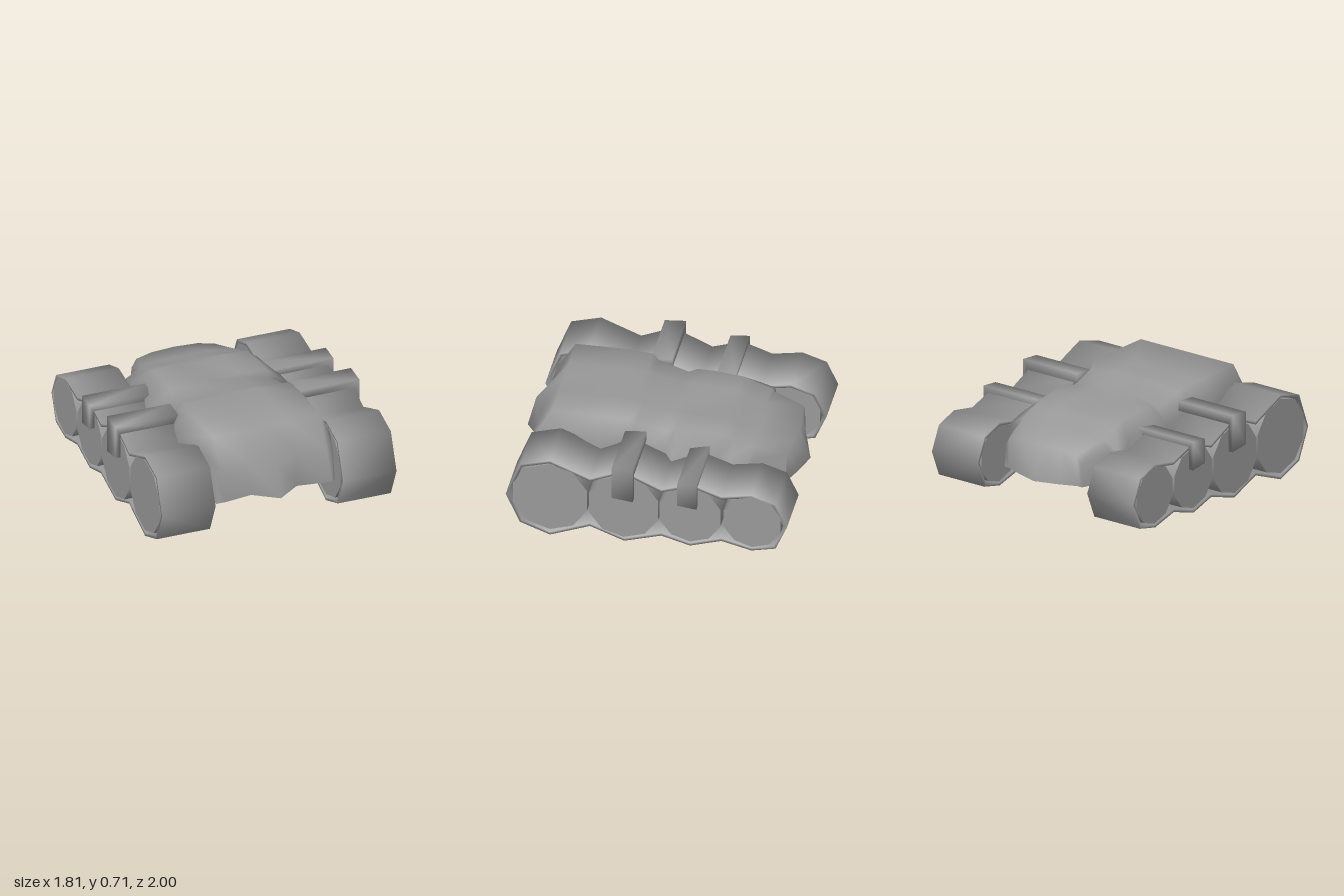
import * as THREE from 'three';
import { toCreasedNormals } from 'three/addons/utils/BufferGeometryUtils.js';

const grey = new THREE.MeshStandardMaterial({ color: 0x999999, side: THREE.DoubleSide });
const FLOOR = 0.28;

function part(name, geometry) {
  const mesh = new THREE.Mesh(geometry, grey);
  mesh.name = name;
  return mesh;
}

// Hull sections, nose to tail:
// z, centre y, inner y, shoulder x, shoulder y, flank x, flank y, base x, centre z shift, inner z shift
const sections = [
  [0.90, 0.28, 0.28, 0.37, 0.28, 0.42, 0.28, 0.44, 0.095, -0.03],
  [0.87, 0.515, 0.515, 0.39, 0.515, 0.44, 0.50, 0.45, 0.065, 0],
  [0.74, 0.715, 0.715, 0.40, 0.715, 0.47, 0.57, 0.47, 0, 0],
  [0.38, 0.715, 0.715, 0.41, 0.715, 0.505, 0.55, 0.49, 0, 0],
  [0.20, 0.715, 0.715, 0.40, 0.71, 0.48, 0.56, 0.48, 0, 0],
  [0.15, 0.705, 0.70, 0.38, 0.675, 0.47, 0.55, 0.48, 0, 0],
  [-0.06, 0.672, 0.665, 0.36, 0.622, 0.46, 0.53, 0.48, 0, 0],
  [-0.12, 0.655, 0.665, 0.36, 0.655, 0.528, 0.515, 0.50, 0, 0],
  [-0.25, 0.635, 0.66, 0.36, 0.655, 0.495, 0.55, 0.49, 0, 0],
  [-0.44, 0.63, 0.655, 0.35, 0.645, 0.45, 0.56, 0.48, 0, 0],
  [-0.52, 0.62, 0.62, 0.35, 0.61, 0.46, 0.54, 0.48, 0, 0],
  [-0.645, 0.585, 0.585, 0.35, 0.565, 0.465, 0.50, 0.475, 0, 0],
  [-0.66, 0.58, 0.58, 0.34, 0.56, 0.40, 0.49, 0.42, 0, 0],
  [-0.88, 0.52, 0.52, 0.29, 0.50, 0.325, 0.44, 0.34, -0.03, -0.015],
  [-0.88, 0.28, 0.28, 0.30, 0.28, 0.325, 0.28, 0.34, -0.105, -0.052],
];

function buildHull() {
  const rows = sections.map(([z, cy, iy, sx, sy, fx, fy, bx, cz, iz]) => {
    const half = [[0.17, iy, z + iz], [sx, sy, z], [fx, fy, z], [bx, FLOOR, z]];
    const mirrored = half.map(([x, y, d]) => [-x, y, d]).reverse();
    return [...mirrored, [0, cy, z + cz], ...half];
  });
  const n = rows[0].length, index = [];
  for (let r = 0; r < rows.length - 1; r++)
    for (let c = 0; c < n - 1; c++) {
      const a = r * n + c, b = a + n;
      index.push(a, a + 1, b, a + 1, b + 1, b);
    }
  const shell = new THREE.BufferGeometry();
  shell.setAttribute('position', new THREE.Float32BufferAttribute(rows.flat(2), 3));
  shell.setIndex(index);
  shell.computeVertexNormals();

  // flat underside following the outline of the shell
  const outline = [
    ...rows[0],
    ...rows.slice(1, -1).map((row) => row[n - 1]),
    ...[...rows[rows.length - 1]].reverse(),
    ...rows.slice(1, -1).map((row) => row[0]).reverse(),
  ].map(([x, , z]) => new THREE.Vector2(x, z));
  const floor = new THREE.ShapeGeometry(new THREE.Shape(outline));
  floor.rotateX(Math.PI / 2).translate(0, FLOOR, 0);

  const hull = new THREE.Group();
  hull.name = 'hull';
  hull.add(part('hullShell', shell), part('hullFloor', floor));
  return hull;
}

// Belt outline as [z, y], dipping between the wheels
const beltPath = [
  [0.97, 0.30], [0.87, 0.56], [0.66, 0.622], [0.38, 0.51], [0.15, 0.61],
  [-0.12, 0.49], [-0.33, 0.562], [-0.54, 0.49], [-0.75, 0.53], [-0.92, 0.475],
  [-1.0, 0.30], [-0.92, 0.11], [-0.75, 0.07], [-0.54, 0.12], [-0.32, 0.05],
  [-0.12, 0.105], [0.14, 0.025], [0.38, 0.115], [0.66, 0.003], [0.87, 0.08],
].map(([z, y]) => new THREE.Vector2(z, y));

function buildBelt() {
  const count = beltPath.length;
  const inner = beltPath.map((p, i) => {
    const prev = beltPath[(i + count - 1) % count], next = beltPath[(i + 1) % count];
    const t = next.clone().sub(prev).normalize();
    return new THREE.Vector2(p.x - t.y * 0.022, p.y + t.x * 0.022);
  });
  const shape = new THREE.Shape(beltPath);
  shape.holes.push(new THREE.Path(inner));
  const belt = new THREE.ExtrudeGeometry(shape, { depth: 0.395, bevelEnabled: false });
  belt.rotateY(-Math.PI / 2).translate(0.87, 0, 0);
  // soft shading around the rims as well
  return toCreasedNormals(belt, 2);
}

// Wheels as z, y, radius
const wheels = [
  [0.66, 0.322, 0.272], [0.145, 0.312, 0.255], [-0.32, 0.31, 0.225], [-0.755, 0.31, 0.21],
];

function buildWheel([z, y, radius]) {
  const wheel = new THREE.CylinderGeometry(radius, radius, 0.395, 10);
  wheel.rotateZ(Math.PI / 2);
  // turn the decagon so that a corner points straight up
  wheel.rotateX(Math.PI / 2);
  return toCreasedNormals(wheel.translate(0.6735, y, z), 0.8);
}

// L-shaped arm reaching over the belt with a plate hanging outside
function buildArm(z, width, top) {
  const shape = new THREE.Shape([
    [0.437, top - 0.07], [0.87, top - 0.07], [0.87, 0.383],
    [0.907, 0.383], [0.907, top], [0.437, top],
  ].map(([x, y]) => new THREE.Vector2(x, y)));
  const arm = new THREE.ExtrudeGeometry(shape, { depth: width, bevelEnabled: false });
  arm.translate(0, 0, z - width / 2);
  // tilt the arm slightly down towards the front
  const p = arm.attributes.position;
  for (let i = 0; i < p.count; i++) {
    const lift = p.getZ(i) > z ? -0.015 : 0;
    p.setY(i, p.getY(i) + (p.getY(i) > 0.4 ? lift : -lift));
  }
  return toCreasedNormals(arm, 2);
}

export function createModel() {
  const model = new THREE.Group();
  model.name = 'trackedVehicle';
  model.add(buildHull());
  for (const side of [1, -1]) {
    const track = new THREE.Group();
    track.name = side > 0 ? 'leftTrack' : 'rightTrack';
    track.add(part('belt', buildBelt()));
    wheels.forEach((w, i) => track.add(part('wheel' + (i + 1), buildWheel(w))));
    track.add(part('frontArm', buildArm(0.148, 0.15, 0.652)));
    track.add(part('rearArm', buildArm(-0.305, 0.135, 0.59)));
    track.scale.x = side;
    model.add(track);
  }
  return model;
}
